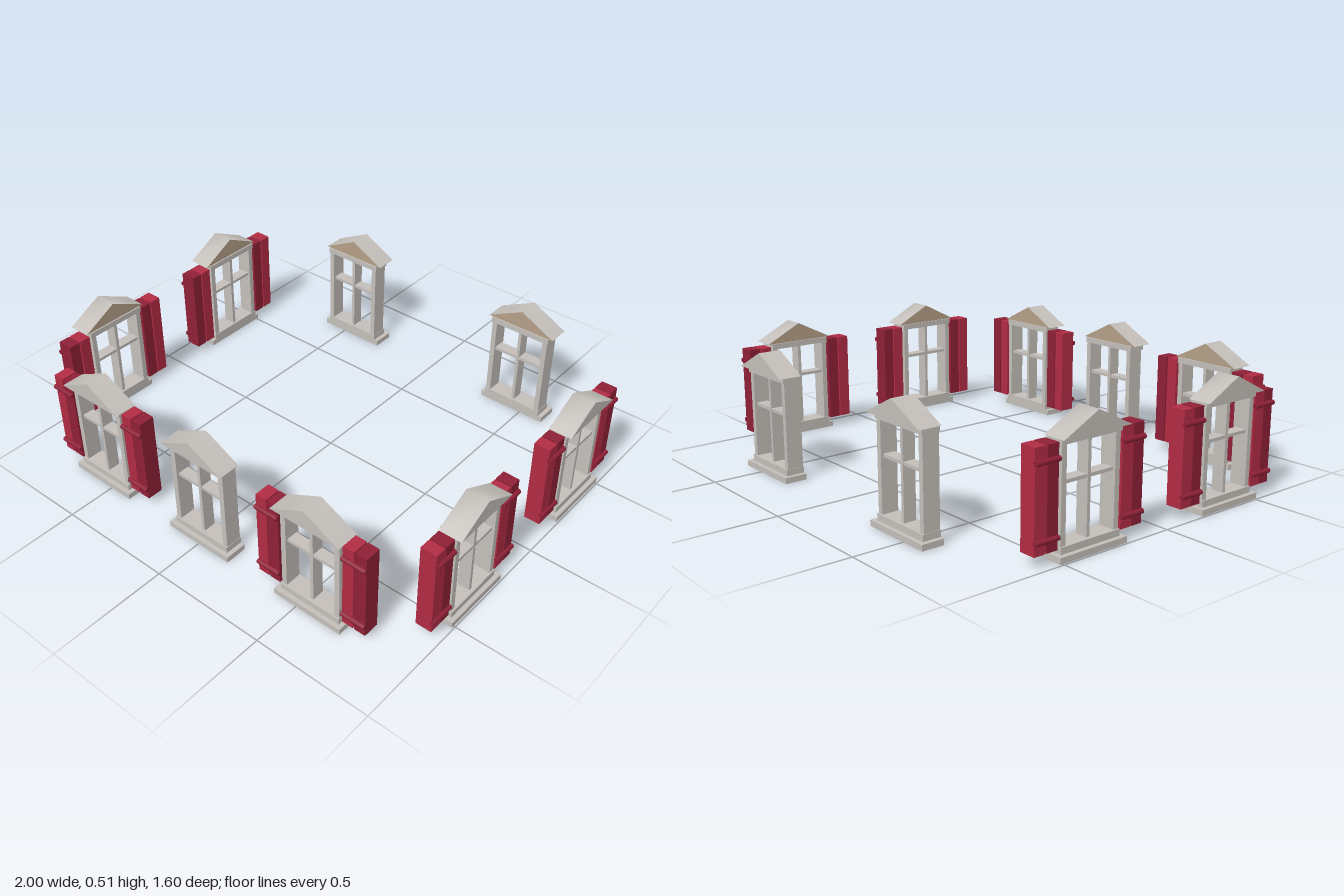
import * as THREE from 'three';

const material = (name, color) => {
  const m = new THREE.MeshStandardMaterial({ color });
  m.name = name;
  return m;
};

export function createModel() {
  const stone = material('warm grey stone', 0xc4bfba);
  const tan = material('tan wood', 0xb5a088);
  const red = material('crimson paint', 0xb22c44);
  const darkRed = material('dark crimson paint', 0x8f2037);

  const add = (parent, name, geometry, mat) => {
    const mesh = new THREE.Mesh(geometry, mat);
    mesh.name = name;
    parent.add(mesh);
    return mesh;
  };

  // Box given by its lower and upper limits on each axis
  const box = (parent, name, mat, [x0, x1], [y0, y1], [z0, z1]) =>
    add(parent, name, new THREE.BoxGeometry(x1 - x0, y1 - y0, z1 - z0), mat)
      .position.set((x0 + x1) / 2, (y0 + y1) / 2, (z0 + z1) / 2);

  // Geometry from corner points and triangle indices
  const faces = (points, index) => {
    const g = new THREE.BufferGeometry();
    g.setAttribute('position', new THREE.Float32BufferAttribute(points.flat(), 3));
    g.setIndex(index);
    g.computeVertexNormals();
    return g;
  };

  // Gabled roof: softly shaded slopes, a grey front and underside, a tan back
  function addRoof(parent) {
    const w = 0.156, low = 0.427, top = 0.506, back = 0.004, front = 0.1;
    const b = [[-w, low, back], [0, top, back], [w, low, back]];
    const f = [[-w, low, front], [0, top, front], [w, low, front]];
    add(parent, 'roofSlopes', faces([...b, ...f], [0, 3, 4, 0, 4, 1, 1, 4, 5, 1, 5, 2]), stone);
    add(parent, 'pedimentFront', faces(f, [0, 2, 1]), stone);
    add(parent, 'pedimentBack', faces(b, [0, 1, 2]), tan);
    add(parent, 'roofUnderside', faces([b[0], b[2], f[2], f[0]], [0, 1, 2, 0, 2, 3]), stone);
  }

  // Two upright boards joined by two rounded battens
  function addShutter(parent, side) {
    const shutter = new THREE.Group();
    shutter.name = side < 0 ? 'rightShutter' : 'leftShutter';
    shutter.position.x = side * 0.199;
    parent.add(shutter);
    box(shutter, 'brightBoard', red, [-0.052, -0.003], [0.042, 0.415], [0, 0.068]);
    box(shutter, 'darkBoard', darkRed, [0.003, 0.052], [0.042, 0.415], [0, 0.068]);
    for (const y of [0.088, 0.361]) {
      const batten = add(shutter, 'batten', new THREE.CylinderGeometry(0.01, 0.01, 0.106, 10), darkRed);
      batten.rotation.z = Math.PI / 2;
      batten.position.set(0, y, 0.071);
    }
  }

  function createWindow(hasShutters) {
    const win = new THREE.Group();
    win.name = hasShutters ? 'shutteredWindow' : 'plainWindow';
    // Frame
    box(win, 'sill', stone, [-0.156, 0.156], [0, 0.024], [-0.001, 0.093]);
    box(win, 'bottomRail', stone, [-0.137, 0.137], [0.024, 0.05], [-0.002, 0.075]);
    box(win, 'lintel', stone, [-0.139, 0.139], [0.403, 0.427], [-0.002, 0.075]);
    for (const s of [-1, 1]) {
      const xs = [s * 0.135, s * 0.113].sort((a, b) => a - b);
      box(win, 'jamb', stone, xs, [0.05, 0.403], [0, 0.069]);
    }
    // Glazing bars
    box(win, 'mullion', stone, [-0.007, 0.007], [0.05, 0.403], [0.008, 0.06]);
    box(win, 'crossbar', stone, [-0.113, 0.113], [0.262, 0.275], [0.01, 0.058]);
    addRoof(win);
    if (hasShutters) for (const s of [-1, 1]) addShutter(win, s);
    return win;
  }

  // Windows around a rectangle: [x, z, turn, shutters]
  const model = new THREE.Group();
  model.name = 'windowSet';
  const quarter = Math.PI / 2;
  const layout = [
    [-0.55, 0.7, 0, true], [0, 0.7, 0, false], [0.55, 0.7, 0, true],
    [-0.455, -0.7, Math.PI, false], [0.455, -0.7, Math.PI, false],
  ];
  for (const z of [-0.355, 0.355]) {
    layout.push([0.9, z, quarter, true], [-0.9, z, -quarter, true]);
  }
  for (const [x, z, turn, shutters] of layout) {
    const win = createWindow(shutters);
    win.position.set(x, 0, z);
    win.rotation.y = turn;
    model.add(win);
  }
  return model;
}
